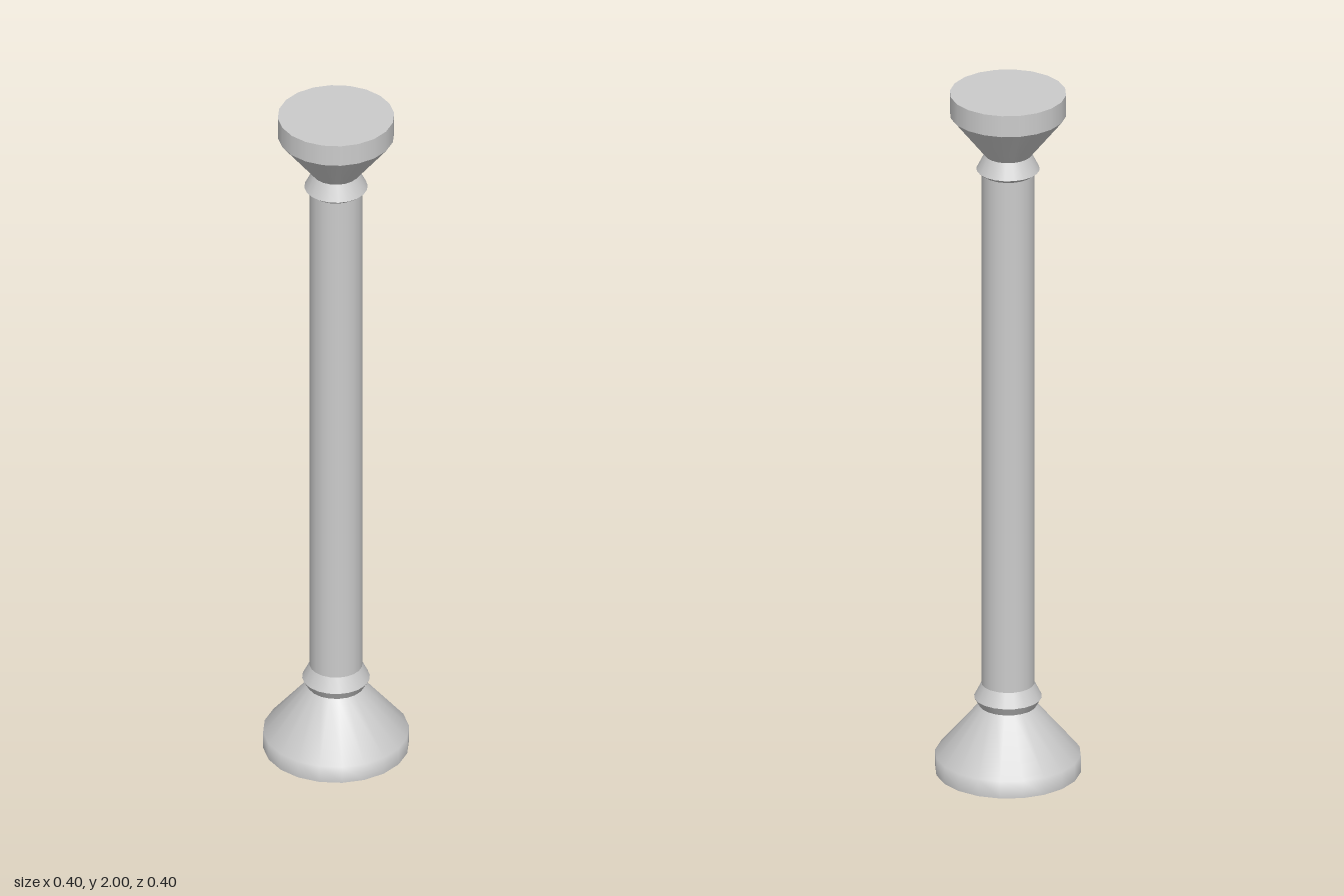
import * as THREE from 'three';

const SIDES = 20;

export function createModel() {
  const model = new THREE.Group();
  const material = new THREE.MeshStandardMaterial({ color: 0xcccccc });

  const add = (name, geometry, y = 0) => {
    const mesh = new THREE.Mesh(geometry, material);
    mesh.name = name;
    mesh.position.y = y;
    model.add(mesh);
    return mesh;
  };

  // Turned surface, smooth along its [radius, height] profile (bottom to top)
  const turn = (name, ...profile) =>
    add(name, new THREE.LatheGeometry(profile.map(([r, y]) => new THREE.Vector2(r, y)), SIDES));

  // Flat end disc, with corners matching the turned parts
  const disc = (name, radius, y, facing) => {
    const geometry = new THREE.CircleGeometry(radius, SIDES).rotateX(-facing * Math.PI / 2);
    return add(name, geometry, y);
  };

  // Flared foot
  disc('footBottom', 0.198, 0, -1);
  turn('foot', [0.198, 0], [0.198, 0.05], [0.078, 0.193]);

  // Lower collar
  turn('lowerCollarUnderside', [0.078, 0.193], [0.092, 0.217]);
  turn('lowerCollarTop', [0.092, 0.217], [0.072, 0.257]);

  // Shaft
  turn('shaft', [0.072, 0.257], [0.072, 1.765]);

  // Upper collar
  turn('upperCollarUnderside', [0.072, 1.765], [0.086, 1.776]);
  turn('upperCollarTop', [0.086, 1.776], [0.064, 1.82]);

  // Flared capital with a flat drum on top
  turn('capitalFlare', [0.064, 1.82], [0.158, 1.938]);
  turn('capitalDrum', [0.158, 1.938], [0.158, 2]);
  disc('capitalTop', 0.158, 2, 1);

  return model;
}
